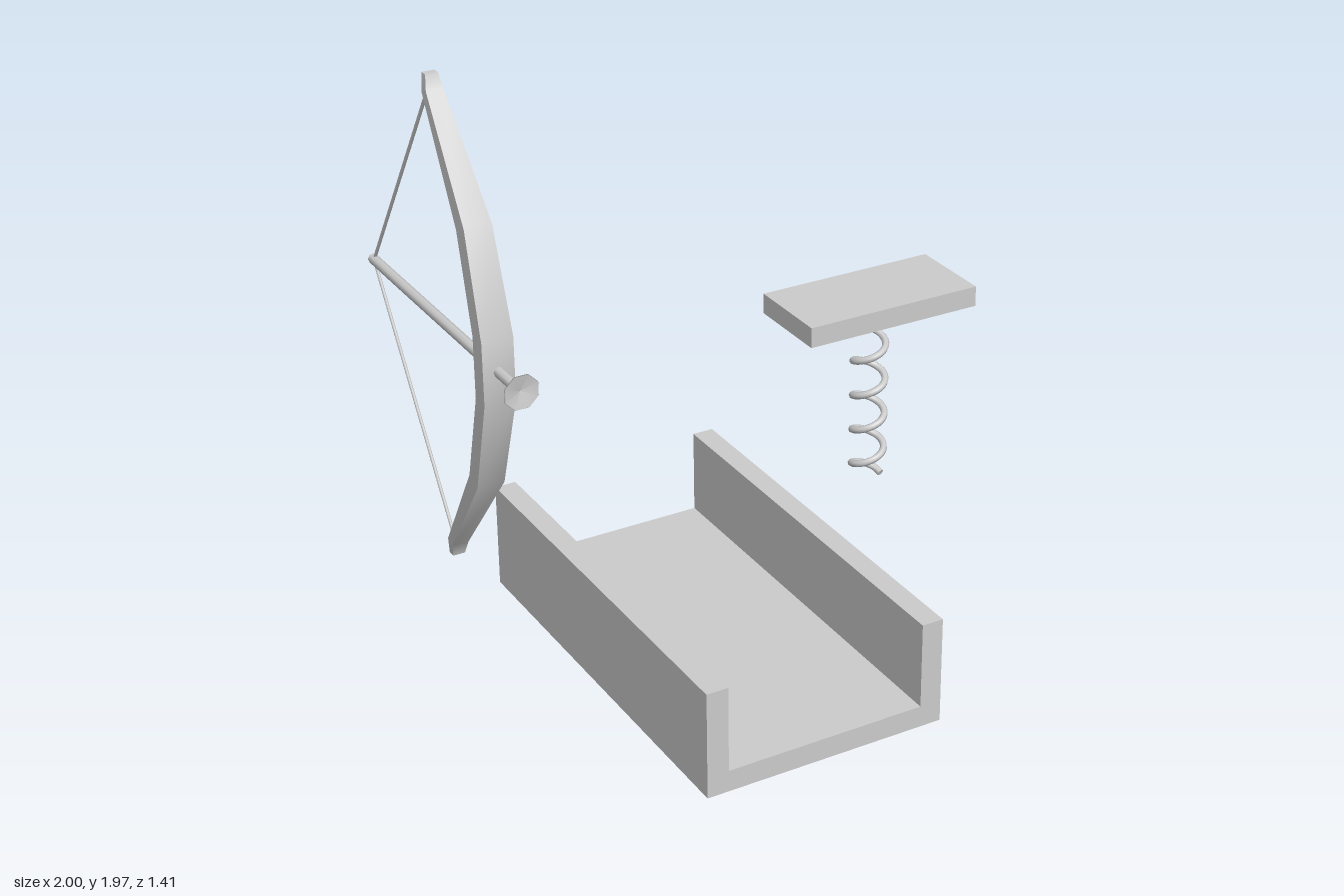
import * as THREE from 'three';

const smooth = new THREE.MeshStandardMaterial({ color: 0xcccccc });
const flat = new THREE.MeshStandardMaterial({ color: 0xcccccc, flatShading: true });

function add(parent, name, geometry, material = flat) {
  const mesh = new THREE.Mesh(geometry, material);
  mesh.name = name;
  parent.add(mesh);
  return mesh;
}

// Rod between two points
function rod(parent, name, a, b, radius, sides) {
  const dir = b.clone().sub(a);
  const mesh = add(parent, name, new THREE.CylinderGeometry(radius, radius, dir.length(), sides), smooth);
  mesh.position.copy(a).add(b).multiplyScalar(0.5);
  mesh.quaternion.setFromUnitVectors(new THREE.Vector3(0, 1, 0), dir.normalize());
  return mesh;
}

// Rectangle with rounded corners, as an outline for shapes and holes
function roundedRect(path, x0, y0, x1, y1, r) {
  path.moveTo(x0 + r, y0);
  path.lineTo(x1 - r, y0);
  path.quadraticCurveTo(x1, y0, x1, y0 + r);
  path.lineTo(x1, y1 - r);
  path.quadraticCurveTo(x1, y1, x1 - r, y1);
  path.lineTo(x0 + r, y1);
  path.quadraticCurveTo(x0, y1, x0, y1 - r);
  path.lineTo(x0, y0 + r);
  path.quadraticCurveTo(x0, y0, x0 + r, y0);
  return path;
}

// Extrude a (-z, y) outline along x
function extrudeX(shape, x, depth) {
  const g = new THREE.ExtrudeGeometry(shape, { depth, bevelEnabled: false, curveSegments: 3 });
  return g.rotateY(Math.PI / 2).translate(x, 0, 0);
}

function makeTray() {
  const tray = new THREE.Group();
  tray.name = 'tray';
  const skin = 0.16; // the slotted outer layer of the left wall starts here
  const u = new THREE.Shape([
    [-0.6, 0], [skin, 0], [skin, 0.35], [0.12, 0.35], [0.12, 0.07],
    [-0.53, 0.07], [-0.53, 0.35], [-0.6, 0.35],
  ].map(([x, y]) => new THREE.Vector2(x, y)));
  add(tray, 'channel', new THREE.ExtrudeGeometry(u, { depth: 1.38, bevelEnabled: false }).translate(0, 0, -0.675));

  const panel = new THREE.Shape([
    [-0.705, 0], [0.675, 0], [0.675, 0.35], [-0.705, 0.35],
  ].map(([x, y]) => new THREE.Vector2(x, y)));
  panel.holes.push(roundedRect(new THREE.Path(), 0.41, 0.045, 0.62, 0.098, 0.01));
  add(tray, 'slottedWall', extrudeX(panel, skin, 0.19 - skin));

  // Sliding lever in the slot
  rod(tray, 'leverStem', new THREE.Vector3(skin, 0.071, -0.442), new THREE.Vector3(0.22, 0.071, -0.442), 0.012, 8);
  add(tray, 'leverKnob', extrudeX(roundedRect(new THREE.Shape(), 0.415, 0.045, 0.468, 0.098, 0.012), 0.213, 0.087));
  return tray;
}

function makeSpringPlatform() {
  const group = new THREE.Group();
  group.name = 'springPlatform';
  add(group, 'platform', new THREE.BoxGeometry(0.63, 0.07, 0.303)).position.set(0.685, 0.78, -0.492);

  // Coil of just under five turns, ending at the underside of the platform
  const turns = 4.9, points = [];
  for (let i = 0; i <= 60; i++) {
    const t = (i / 60) * turns, a = t * Math.PI * 2;
    points.push(new THREE.Vector3(0.685 + 0.054 * Math.cos(a), 0.122 + 0.128 * t, -0.49 - 0.054 * Math.sin(a)));
  }
  const curve = new THREE.CatmullRomCurve3(points);
  add(group, 'spring', new THREE.TubeGeometry(curve, 120, 0.012, 8), smooth);
  for (const [p, sign] of [[0, -1], [1, 1]]) {
    const cap = add(group, 'springEnd', new THREE.CircleGeometry(0.012, 8));
    cap.position.copy(curve.getPointAt(p));
    cap.quaternion.setFromUnitVectors(new THREE.Vector3(0, 0, 1), curve.getTangentAt(p).multiplyScalar(sign));
  }
  return group;
}

// Rectangular limb: four strips smooth along their length, creased at the corners
function limbGeometry(sections) {
  const pos = [], index = [];
  const rings = sections.map(([yf, zf, yb, zb, w]) => [[-w, yf, zf], [w, yf, zf], [w, yb, zb], [-w, yb, zb]]);
  for (let side = 0; side < 4; side++) {
    const base = pos.length / 3;
    rings.forEach((ring, i) => {
      pos.push(...ring[side], ...ring[(side + 1) % 4]);
      if (i) {
        const a = base + 2 * i - 2;
        index.push(a, a + 1, a + 3, a, a + 3, a + 2);
      }
    });
  }
  // End caps
  for (const [ring, order] of [[rings[0], [0, 2, 1, 0, 3, 2]], [rings[rings.length - 1], [0, 1, 2, 0, 2, 3]]]) {
    const base = pos.length / 3;
    ring.forEach((p) => pos.push(...p));
    index.push(...order.map((k) => base + k));
  }
  const g = new THREE.BufferGeometry();
  g.setAttribute('position', new THREE.Float32BufferAttribute(pos, 3));
  g.setIndex(index);
  g.computeVertexNormals();
  return g;
}

function makeBow() {
  const bow = new THREE.Group();
  bow.name = 'bow';
  bow.position.set(-0.947, 1.215, 0);

  // Upper half: front y, front z, back y, back z, half width; mirrored for the lower half
  const half = [
    [0.095, 0.177, 0.095, 0.12, 0.048],
    [0.398, 0.085, 0.377, 0.033, 0.042],
    [0.712, -0.16, 0.7, -0.19, 0.026],
    [0.755, -0.175, 0.755, -0.2, 0.019],
  ];
  const lower = half.map(([a, b, c, d, w]) => [-a, b, -c, d, w]).reverse();
  add(bow, 'limbs', limbGeometry([...lower, ...half]), smooth);

  for (const s of [-1, 1]) {
    rod(bow, 'string', new THREE.Vector3(0, s * 0.73, -0.187), new THREE.Vector3(0, 0, -0.695), 0.005, 6);
  }

  // Arrow with a suction cup at its front
  rod(bow, 'arrowShaft', new THREE.Vector3(0, 0, -0.705), new THREE.Vector3(0, 0, 0.306), 0.016, 8);
  const cup = [[0.016, 0.295], [0.022, 0.305], [0.055, 0.32], [0.053, 0.323], [0, 0.31]]
    .map(([r, z]) => new THREE.Vector2(r, z));
  const cupMaterial = smooth.clone();
  cupMaterial.side = THREE.DoubleSide;
  add(bow, 'suctionCup', new THREE.LatheGeometry(cup, 8, Math.PI / 8).rotateX(Math.PI / 2), cupMaterial);
  return bow;
}

export function createModel() {
  const model = new THREE.Group();
  model.name = 'trayBowAndSpring';
  model.add(makeTray(), makeSpringPlatform(), makeBow());
  return model;
}
